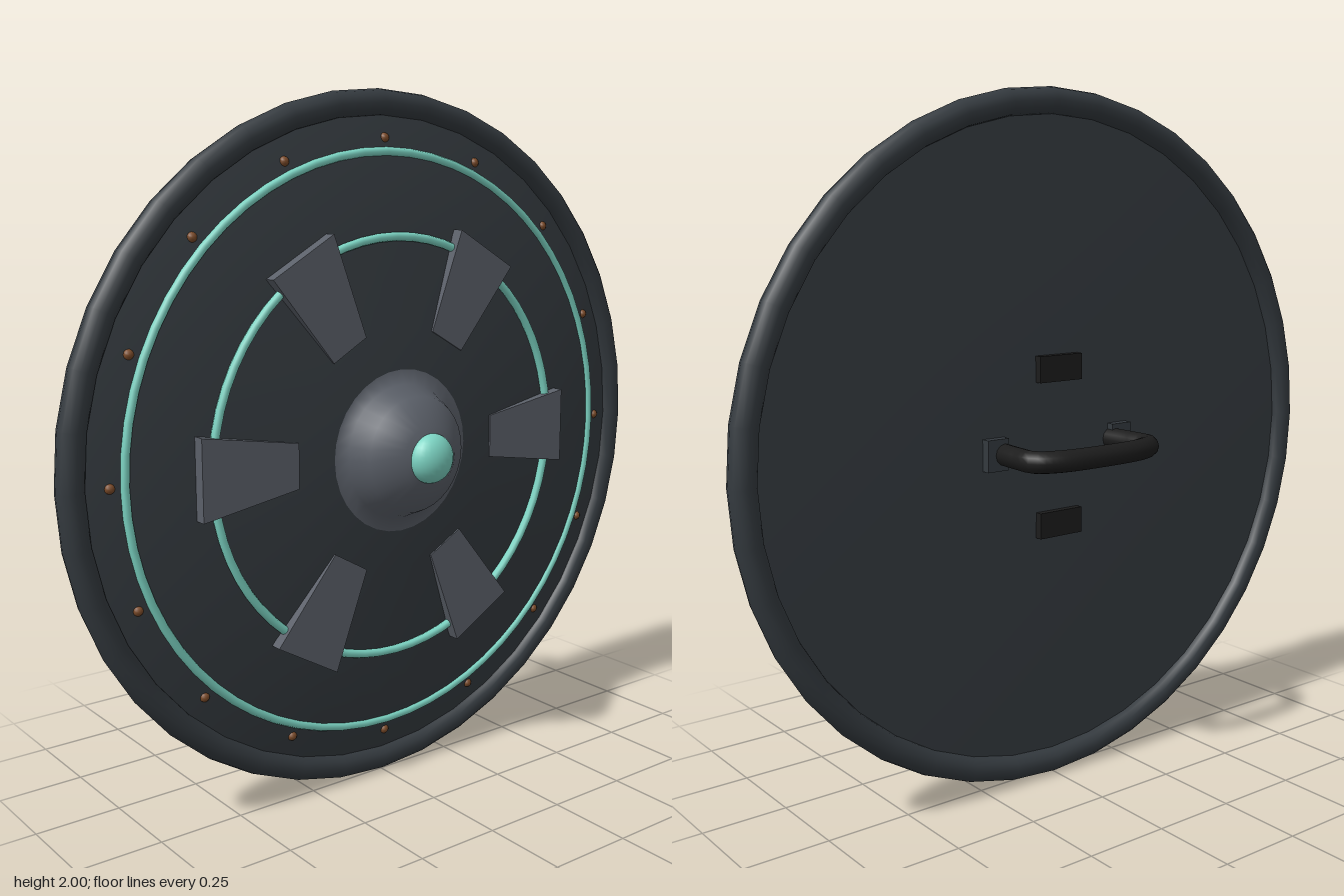
import * as THREE from 'three';
import { toCreasedNormals } from 'three/addons/utils/BufferGeometryUtils.js';

const paint = (name, color) => {
  const m = new THREE.MeshStandardMaterial({ color });
  m.name = name;
  return m;
};

export function createModel() {
  const shieldSteel = paint('shield steel', 0x353b40);
  const rimSteel = paint('rim steel', 0x343a3f);
  const plateGrey = paint('plate grey', 0x5b6069);
  const teal = paint('teal', 0x7cd4c3);
  const copper = paint('copper', 0x7a4a28);
  const leather = paint('black leather', 0x1c1c1c);

  const model = new THREE.Group();
  // everything is placed around the shield centre, one unit above the ground
  const add = (name, geometry, material, x = 0, y = 0, z = 0) => {
    const mesh = new THREE.Mesh(geometry, material);
    mesh.name = name;
    mesh.position.set(x, y + 1, z);
    model.add(mesh);
    return mesh;
  };
  // lathe around the z axis from [radius, z] pairs
  const turned = (points, sides) => new THREE.LatheGeometry(
    points.map(([r, z]) => new THREE.Vector2(r, z)), sides).rotateX(Math.PI / 2);

  // Domed body with a very shallow cone behind
  const body = turned([[0, -0.045], [0.95, -0.014], [0.95, -0.004], [0.83, 0.027],
    [0.6, 0.058], [0.35, 0.083], [0.2, 0.097], [0, 0.1]], 40);
  add('shieldBody', toCreasedNormals(body, 0.5), shieldSteel);
  add('rim', new THREE.TorusGeometry(0.9625, 0.0375, 12, 40), rimSteel, 0, 0, -0.011);

  // Glowing rings
  add('outerRing', new THREE.TorusGeometry(0.83, 0.0125, 8, 64), teal, 0, 0, 0.025);
  add('innerRing', new THREE.TorusGeometry(0.6, 0.0125, 8, 64), teal, 0, 0, 0.066);

  // Central boss and gem
  add('boss', turned([[0.233, 0.095], [0.192, 0.104], [0.165, 0.164],
    [0.09, 0.222], [0, 0.235]], 32), plateGrey);
  add('gem', new THREE.SphereGeometry(0.07, 24, 16), teal, 0, 0, 0.226).scale.z = 0.7;

  // Six wedge plates
  const wedge = new THREE.Shape([[0.345, -0.063], [0.643, -0.112], [0.643, 0.112], [0.345, 0.063]]
    .map(([x, y]) => new THREE.Vector2(x, y)));
  const wedgeGeometry = new THREE.ExtrudeGeometry(wedge, { depth: 0.035, bevelEnabled: false });
  for (let i = 0; i < 6; i++) {
    add('wedgePlate', wedgeGeometry, plateGrey, 0, 0, 0.053).rotation.z = i * Math.PI / 3;
  }

  // Sixteen rivets, sunk below the front of the rim
  const rivet = new THREE.SphereGeometry(0.014, 10, 8);
  for (let i = 0; i < 16; i++) {
    const a = i * Math.PI / 8;
    add('rivet', rivet, copper, 0.867 * Math.cos(a), 0.867 * Math.sin(a), 0.014);
  }

  // Curved grip with its two mounts, and two arm pads
  const grip = new THREE.CatmullRomCurve3([[-0.2, -0.04], [-0.208, -0.14], [-0.205, -0.2],
    [-0.15, -0.232], [0, -0.245], [0.15, -0.232], [0.205, -0.2], [0.208, -0.14], [0.2, -0.04]]
    .map(([x, z]) => new THREE.Vector3(x, 0, z)));
  add('grip', new THREE.TubeGeometry(grip, 48, 0.031, 12), leather);
  for (const side of [-1, 1]) {
    add('gripMount', new THREE.BoxGeometry(0.07, 0.09, 0.04), rimSteel, side * 0.224, 0, -0.043);
    add('armPad', new THREE.BoxGeometry(0.15, 0.075, 0.03), leather, 0, side * 0.225, -0.044);
  }
  return model;
}
